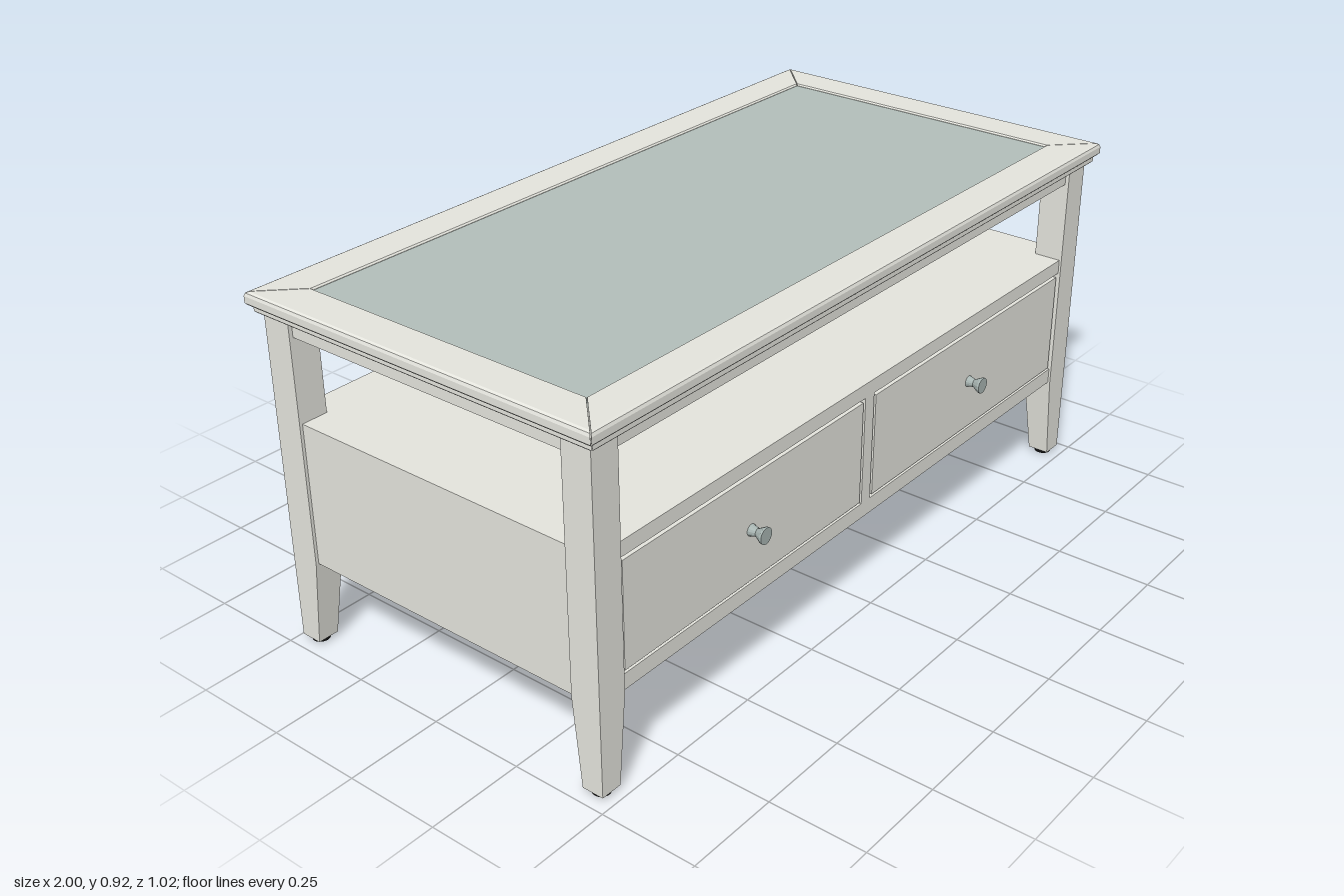
import * as THREE from 'three';

const mat = (name, color) => {
  const m = new THREE.MeshStandardMaterial({ color });
  m.name = name;
  return m;
};

export function createModel() {
  const paint = mat('paintedWood', 0xe4e4dd);
  const glassMat = mat('glass', 0xb3bfba);
  const metal = mat('metal', 0xa8b5b2);
  const black = mat('blackRubber', 0x101010);

  const model = new THREE.Group();
  model.name = 'coffeeTable';
  const table = new THREE.Group();
  table.name = 'table';
  table.position.z = -0.003; // the knobs shift the overall centre slightly
  model.add(table);

  const add = (name, geo, material, parent = table) => {
    const m = new THREE.Mesh(geo, material);
    m.name = name;
    parent.add(m);
    return m;
  };
  // Box given by its min and max on each axis
  const box = (name, x0, x1, y0, y1, z0, z1, material = paint, parent = table) => {
    const g = new THREE.BoxGeometry(x1 - x0, y1 - y0, z1 - z0);
    g.translate((x0 + x1) / 2, (y0 + y1) / 2, (z0 + z1) / 2);
    return add(name, g, material, parent);
  };
  // Four mitred rails with hairline joints: a convex profile of [inset, y] swept
  // along each side of a rectangle, with capped ends
  const frame = (name, hx, hz, profile) => {
    const corners = [[1, 1], [1, -1], [-1, -1], [-1, 1]];
    const at = ([sx, sz], [d, y]) => [sx * (hx - d), y, sz * (hz - d)];
    corners.forEach((c0, i) => {
      const c1 = corners[(i + 1) % 4];
      const gap = [0, 1].map((k) => (c1[k] - c0[k]) * 0.0008);
      const start = profile.map((p) => {
        const [x, y, z] = at(c0, p);
        return [x + gap[0], y, z + gap[1]];
      });
      const end = profile.map((p) => {
        const [x, y, z] = at(c1, p);
        return [x - gap[0], y, z - gap[1]];
      });
      const pos = [];
      profile.forEach((_, j) => {
        const n = (j + 1) % profile.length;
        pos.push(...start[j], ...end[j], ...end[n], ...start[j], ...end[n], ...start[n]);
        if (j > 0 && n > 0) {
          pos.push(...start[0], ...start[j], ...start[n], ...end[0], ...end[n], ...end[j]);
        }
      });
      const g = new THREE.BufferGeometry();
      g.setAttribute('position', new THREE.Float32BufferAttribute(pos, 3));
      g.computeVertexNormals();
      add(name, g, paint);
    });
  };

  // Top: mitred frame with eased edge, moulding below it, glass inset
  frame('topFrameRail', 1, 0.508, [
    [0.006, 0.885], [0, 0.891], [0, 0.908], [0.003, 0.915], [0.009, 0.918],
    [0.102, 0.918], [0.106, 0.914], [0.106, 0.885],
  ]);
  frame('topMoulding', 0.986, 0.497, [
    [0.004, 0.866], [0, 0.87], [0, 0.882], [0.008, 0.886], [0.12, 0.886], [0.12, 0.866],
  ]);
  box('glassTop', -0.894, 0.894, 0.89, 0.913, -0.402, 0.402, glassMat);

  // Legs taper on their two inner faces; each stands on a round foot
  for (const sx of [-1, 1]) for (const sz of [-1, 1]) {
    let g = new THREE.BoxGeometry(0.079, 2, 0.079, 1, 2, 1);
    const p = g.attributes.position;
    for (let i = 0; i < p.count; i++) {
      const level = p.getY(i);
      const taper = level < -0.5 ? 0.022 : 0;
      if (p.getX(i) * sx < 0) p.setX(i, p.getX(i) + sx * taper);
      if (p.getZ(i) * sz < 0) p.setZ(i, p.getZ(i) + sz * taper);
      p.setY(i, level < -0.5 ? 0.012 : level < 0.5 ? 0.24 : 0.866);
    }
    g = g.toNonIndexed();
    g.computeVertexNormals();
    add('leg', g, paint).position.set(sx * 0.9325, 0, sz * 0.4405);
    add('foot', new THREE.CylinderGeometry(0.022, 0.022, 0.014, 20), black)
      .position.set(sx * 0.943, 0.007, sz * 0.451);
  }

  // Aprons below the top
  for (const s of [-1, 1]) {
    const z = s * 0.456, x = s * 0.948;
    box('longApron', -0.9, 0.9, 0.825, 0.867, z - 0.014, z + 0.014);
    box('endApron', x - 0.014, x + 0.014, 0.825, 0.867, -0.41, 0.41);
  }

  // Cabinet: shelf, sides, rear floor, inner back, front rail and divider
  box('shelf', -0.964, 0.964, 0.572, 0.61, -0.472, 0.474);
  for (const s of [-1, 1]) {
    const x = s * 0.9285;
    box('sidePanel', x - 0.0355, x + 0.0355, 0.24, 0.572, -0.43, 0.43);
  }
  box('rearFloor', -0.894, 0.894, 0.243, 0.284, -0.472, -0.1);
  box('innerBack', -0.894, 0.894, 0.284, 0.572, -0.175, -0.16);
  box('frontRail', -0.894, 0.894, 0.243, 0.284, 0.415, 0.474);
  box('divider', -0.018, 0.018, 0.262, 0.572, -0.16, 0.474);

  // Drawers with knobs, running on metal slides
  const knobProfile = [[0, 0], [0.015, 0], [0.01, 0.018], [0.021, 0.037], [0.021, 0.042], [0, 0.042]]
    .map(([r, y]) => new THREE.Vector2(r, y));
  for (const s of [-1, 1]) {
    const drawer = new THREE.Group();
    drawer.name = 'drawer';
    drawer.position.x = s * 0.455;
    table.add(drawer);
    const part = (name, ...b) => box(name, ...b, paint, drawer);
    part('drawerFront', -0.429, 0.429, 0.291, 0.563, 0.44, 0.474);
    part('drawerBottom', -0.424, 0.424, 0.287, 0.3, -0.155, 0.44);
    part('drawerBack', -0.41, 0.41, 0.3, 0.54, -0.15, -0.135);
    for (const e of [-1, 1]) {
      part('drawerSide', e * 0.415 - 0.009, e * 0.415 + 0.009, 0.3, 0.54, -0.15, 0.44);
      box('slide', e * 0.406 - 0.018, e * 0.406 + 0.018, 0.272, 0.287, -0.02, 0.4, metal, drawer);
      box('slideRail', e * 0.424 - 0.006, e * 0.424 + 0.006, 0.26, 0.287, -0.02, 0.4, metal, drawer);
    }
    for (const x of [-0.25, 0, 0.25])
      box('bottomClip', x - 0.012, x + 0.012, 0.276, 0.287, 0.385, 0.405, metal, drawer);
    const knobGeo = new THREE.LatheGeometry(knobProfile, 14).toNonIndexed();
    knobGeo.computeVertexNormals();
    const knob = add('knob', knobGeo, metal, drawer);
    knob.rotation.x = Math.PI / 2;
    knob.position.set(0, 0.425, 0.474);
  }
  return model;
}
